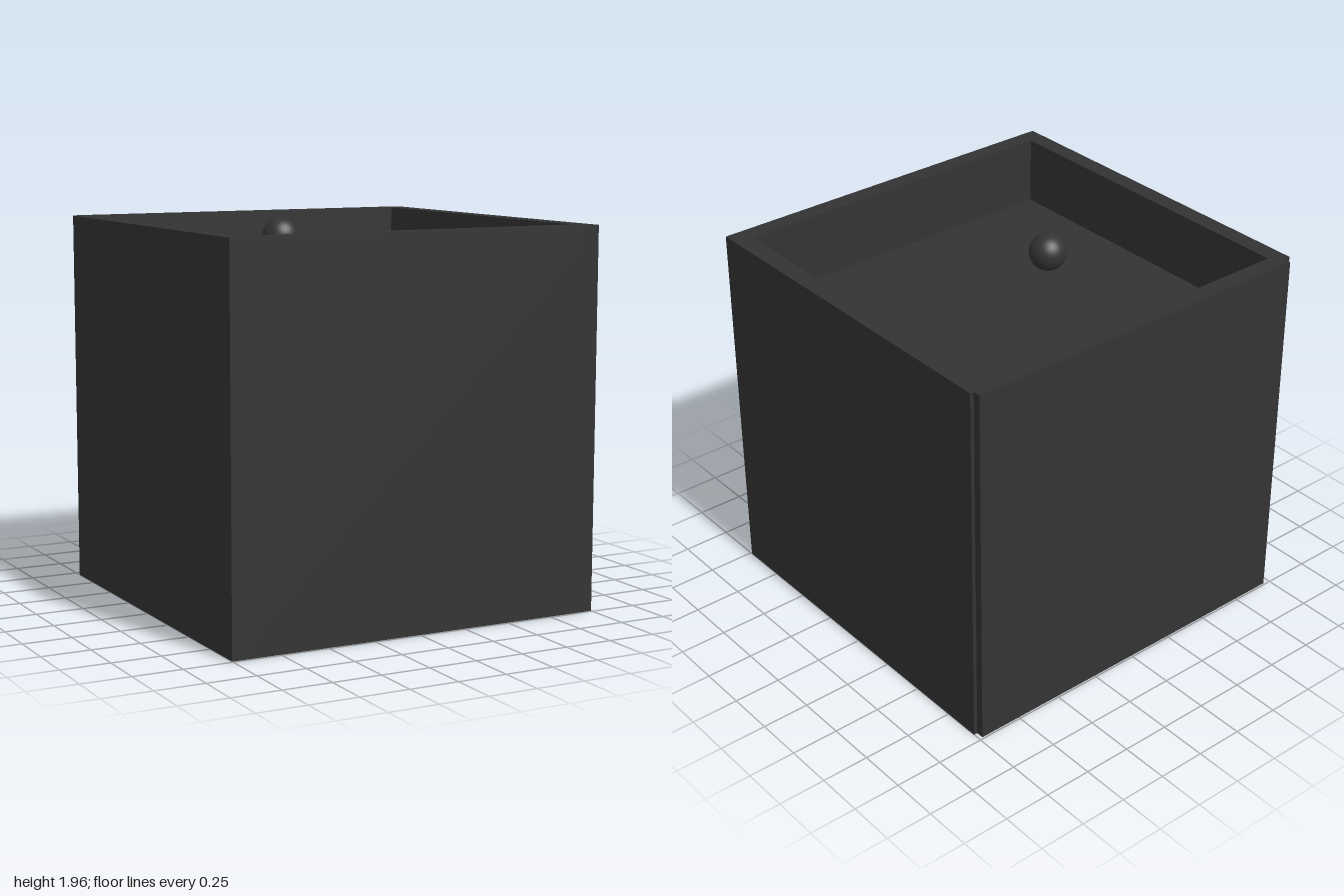
import * as THREE from 'three';

export function createModel() {
  const group = new THREE.Group();
  const material = new THREE.MeshStandardMaterial({ color: 0x333333 });
  const height = 1.944;

  // Box given by its lower and upper corners
  function addBox(name, [x0, y0, z0], [x1, y1, z1]) {
    const mesh = new THREE.Mesh(new THREE.BoxGeometry(x1 - x0, y1 - y0, z1 - z0), material);
    mesh.position.set((x0 + x1) / 2, (y0 + y1) / 2, (z0 + z1) / 2);
    mesh.name = name;
    group.add(mesh);
  }

  // Four walls, open at top and bottom; the back wall is slightly narrower
  addBox('rightWall', [-1, 0, -0.95], [-0.907, height, 0.99]);
  addBox('leftWall', [0.904, 0, -0.95], [1, height, 0.99]);
  addBox('frontWall', [-1, 0, 0.895], [1, height, 0.99]);
  addBox('backWall', [-0.963, 0, -0.99], [0.98, height, -0.895]);

  // Thin raised floor between the walls
  const floorMaterial = material.clone();
  floorMaterial.side = THREE.DoubleSide;
  const floor = new THREE.Mesh(new THREE.PlaneGeometry(1.811, 1.79), floorMaterial);
  floor.rotation.x = -Math.PI / 2;
  floor.position.set(-0.0015, 1.59, 0);
  floor.name = 'floor';
  group.add(floor);

  // Ball hovering above the floor
  const ball = new THREE.Mesh(new THREE.SphereGeometry(0.096, 32, 24), material);
  ball.position.set(-0.227, 1.866, -0.041);
  ball.name = 'ball';
  group.add(ball);

  return group;
}
